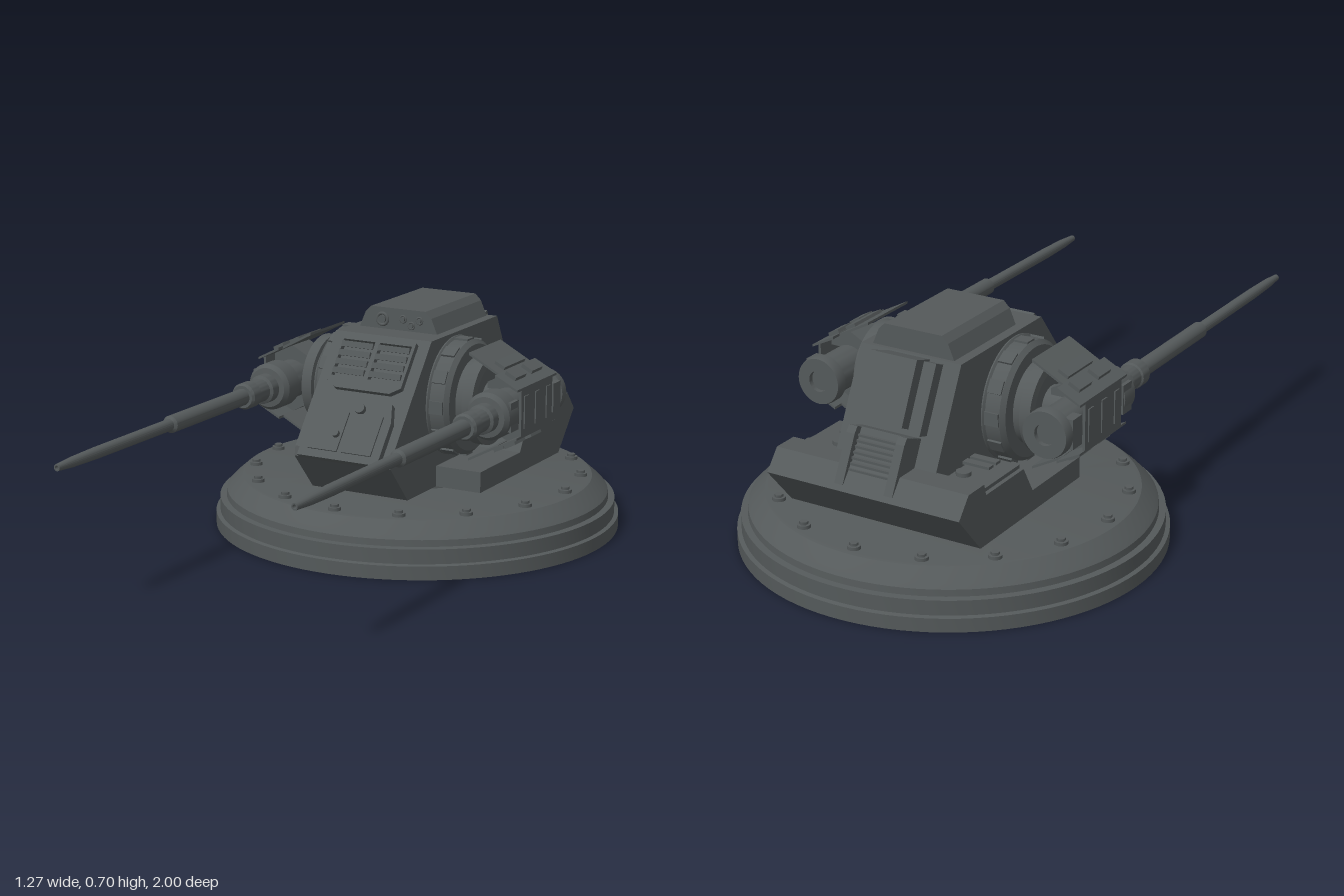
import * as THREE from 'three';
import { toCreasedNormals } from 'three/addons/utils/BufferGeometryUtils.js';

const gunmetal = new THREE.MeshStandardMaterial({ color: 0x54595a });
gunmetal.name = 'gunmetal';

const v2 = (pts) => pts.map(([a, b]) => new THREE.Vector2(a, b));

function add(parent, name, geometry, x = 0, y = 0, z = 0) {
  const m = new THREE.Mesh(geometry, gunmetal);
  m.name = name;
  m.position.set(x, y, z);
  parent.add(m);
  return m;
}

const box = (w, h, d) => new THREE.BoxGeometry(w, h, d);

// Turned part from [radius, height] points, with crisp rims
const turned = (pts, seg = 48) => toCreasedNormals(new THREE.LatheGeometry(v2(pts), seg), 0.5);

// Outline in x, y pushed forward along z
const frontExtrude = (pts, depth) =>
  new THREE.ExtrudeGeometry(new THREE.Shape(v2(pts)), { depth, bevelEnabled: false });

// Outline in z, y extruded along x, centred
const sideExtrude = (pts, width) =>
  frontExtrude(pts, width).rotateY(-Math.PI / 2).translate(width / 2, 0, 0);

// Short disc facing +z
const disc = (r, h, seg = 20) => new THREE.CylinderGeometry(r, r, h, seg).rotateX(Math.PI / 2);

const CZ = -0.365; // base centre

function buildBase() {
  const g = new THREE.Group();
  g.name = 'base';
  g.position.z = CZ;
  add(g, 'basePlate', turned([
    [0, 0], [0.635, 0], [0.635, 0.042], [0.622, 0.045], [0.622, 0.09], [0.602, 0.092],
    [0.6, 0.112], [0.588, 0.125], [0.55, 0.158], [0.54, 0.16], [0, 0.16]], 96));
  add(g, 'turretRing', turned([[0, 0.155], [0.22, 0.155], [0.22, 0.176], [0, 0.176]], 64));
  for (let i = 0; i < 16; i++) {
    const a = (i / 16) * Math.PI * 2;
    const x = Math.sin(a) * 0.515, z = Math.cos(a) * 0.515;
    add(g, 'boltWasher', new THREE.CylinderGeometry(0.02, 0.02, 0.01, 16), x, 0.165, z);
    add(g, 'boltHead', new THREE.CylinderGeometry(0.013, 0.013, 0.01, 6), x, 0.173, z);
  }
  return g;
}

function buildBody() {
  const g = new THREE.Group();
  g.name = 'body';
  add(g, 'hull', sideExtrude([
    [0, 0.175], [0.105, 0.295], [0.1, 0.325], [-0.145, 0.635], [-0.58, 0.635],
    [-0.715, 0.36], [-0.73, 0.175]], 0.332));
  add(g, 'rearDeck', sideExtrude([
    [-0.18, 0.175], [-0.18, 0.24], [-0.45, 0.24], [-0.5, 0.325], [-0.7, 0.325], [-0.71, 0.36],
    [-0.79, 0.36], [-0.84, 0.3], [-0.73, 0.175]], 0.636));

  // Roof housing with front sensors
  add(g, 'roofHousing', frontExtrude(
    [[-0.137, 0.63], [0.137, 0.63], [0.115, 0.682], [0.095, 0.702], [-0.095, 0.702], [-0.115, 0.682]],
    0.33), 0, 0, -0.567);
  for (const [x, y, r] of [[-0.055, 0.665, 0.021], [0.017, 0.671, 0.012], [0.046, 0.653, 0.012], [0.074, 0.671, 0.012]]) {
    add(g, 'sensorRim', new THREE.TorusGeometry(r * 0.85, r * 0.25, 8, 24), x, y, -0.237);
    add(g, 'sensorLens', disc(r * 0.6, 0.01), x, y, -0.235);
  }

  // Sloped front: nose cover and louvred panel
  const slope = new THREE.Group();
  slope.name = 'frontSlope';
  slope.position.set(0, 0.325, 0.1);
  slope.rotation.x = -Math.atan2(0.245, 0.31);
  g.add(slope);
  add(slope, 'noseCover', frontExtrude(
    [[-0.137, -0.035], [0.137, -0.035], [0.137, 0.105], [0.12, 0.165], [-0.12, 0.165], [-0.137, 0.105]], 0.022));
  for (const s of [-1, 1]) {
    add(slope, 'nosePlate', box(0.1, 0.13, 0.008), s * 0.058, 0.055, 0.023);
    for (let i = 0; i < 4; i++) {
      const l = add(slope, 'frontLouvre', box(0.108, 0.018, 0.012), s * 0.063, 0.256 + i * 0.03, 0.018);
      l.rotation.x = 0.35;
    }
  }
  add(slope, 'noseKnob', disc(0.016, 0.024), 0.025, 0.135, 0.025);
  add(slope, 'noseKnob', disc(0.012, 0.02), -0.027, 0.045, 0.03);
  const frame = new THREE.Shape(v2([
    [-0.128, 0.222], [-0.095, 0.2], [0.095, 0.2], [0.128, 0.222], [0.128, 0.375], [-0.128, 0.375]]));
  for (const s of [-1, 1])
    frame.holes.push(new THREE.Path(v2([[s * 0.008, 0.238], [s * 0.118, 0.238], [s * 0.118, 0.362], [s * 0.008, 0.362]])));
  add(slope, 'louvreFrame', new THREE.ExtrudeGeometry(frame, { depth: 0.018, bevelEnabled: false }));

  // Rear hatch and exhaust grille
  add(g, 'rearHatchFrame', sideExtrude([[-0.57, 0.62], [-0.62, 0.64], [-0.71, 0.455], [-0.66, 0.44]], 0.22));
  add(g, 'rearHatch', sideExtrude([[-0.59, 0.635], [-0.655, 0.655], [-0.737, 0.482], [-0.68, 0.455]], 0.14));
  add(g, 'grilleBlock', sideExtrude([[-0.68, 0.435], [-0.73, 0.455], [-0.81, 0.32], [-0.7, 0.32]], 0.19));
  for (const s of [-1, 1])
    add(g, 'grilleSide', sideExtrude(
      [[-0.69, 0.437], [-0.75, 0.463], [-0.765, 0.445], [-0.83, 0.315], [-0.75, 0.31]], 0.028), s * 0.082);
  for (let i = 0; i < 7; i++)
    add(g, 'grilleBar', box(0.14, 0.007, 0.014), 0, 0.435 - i * 0.014, -0.742 - i * 0.0085);

  // Deck covers with cap and vents
  for (const s of [-1, 1]) {
    add(g, 'deckCover', box(0.13, 0.012, 0.2), s * 0.24, 0.33, -0.6);
    add(g, 'deckCap', new THREE.CylinderGeometry(0.022, 0.022, 0.014, 20), s * 0.207, 0.341, -0.638);
    for (let i = 0; i < 2; i++)
      add(g, 'deckVent', box(0.09, 0.01, 0.025), s * 0.207, 0.339, -0.565 + i * 0.038);
  }
  return g;
}

function buildGun(s) {
  const g = new THREE.Group();
  g.name = s > 0 ? 'leftGun' : 'rightGun';

  // Drum mount across the hull side
  add(g, 'drumMount', turned([
    [0, 0.15], [0.185, 0.15], [0.185, 0.17], [0.178, 0.175], [0.178, 0.222], [0.165, 0.235],
    [0.125, 0.235], [0.125, 0.262], [0.14, 0.264], [0.14, 0.298], [0.115, 0.3], [0.115, 0.29],
    [0.06, 0.29], [0.06, 0.38], [0, 0.38]], 56).rotateZ(-s * Math.PI / 2), 0, 0.44, -0.295);
  for (let i = 0; i < 12; i++) {
    const a = (i / 12) * Math.PI * 2;
    const rib = add(g, 'drumRib', box(0.045, 0.012, 0.04), s * 0.198, 0.44 + Math.cos(a) * 0.177, -0.295 + Math.sin(a) * 0.177);
    rib.rotation.x = a;
  }

  // Breech and barrel along z
  add(g, 'breech', turned([
    [0, -0.48], [0.032, -0.48], [0.032, -0.495], [0.07, -0.495], [0.073, -0.485], [0.073, -0.46],
    [0.06, -0.455], [0.06, -0.165], [0.073, -0.16], [0.073, -0.1], [0.062, -0.085], [0.045, -0.083],
    [0.045, -0.05], [0.036, -0.045], [0.036, 0.008], [0.041, 0.012], [0.041, 0.05], [0.035, 0.058],
    [0, 0.058]], 36).rotateX(Math.PI / 2), s * 0.381, 0.44, 0);
  add(g, 'barrel', turned([
    [0, 0.04], [0.026, 0.04], [0.026, 0.448], [0.018, 0.455], [0.0175, 0.82], [0.015, 0.93],
    [0.01, 1], [0.006, 1], [0.006, 0.96], [0, 0.96]], 24).rotateX(Math.PI / 2), s * 0.381, 0.44, 0);

  // Bent armour: outer plate, then sloping plates above and below
  add(g, 'outerArmour', box(0.008, 0.15, 0.21), s * 0.448, 0.44, -0.285);
  for (const z of [-0.36, -0.285, -0.21])
    add(g, 'armourRib', box(0.008, 0.1, 0.028), s * 0.452, 0.44, z);
  for (const z of [-0.43, -0.14])
    add(g, 'breechClamp', box(0.05, 0.09, 0.05), s * 0.425, 0.44, z);
  for (const u of [-1, 1]) {
    const strip = (pts, depth, z) => frontExtrude(pts.map(([x, y]) => [s * x, 0.44 + u * y]), depth).translate(0, 0, z);
    add(g, 'lowerSlopeArmour', strip([[0.452, 0.07], [0.452, 0.077], [0.378, 0.115], [0.378, 0.107]], 0.27, -0.42));
    add(g, 'upperSlopeArmour', strip([[0.38, 0.105], [0.38, 0.113], [0.277, 0.168], [0.277, 0.16]], 0.21, -0.385));
    add(g, 'armourWeb', strip([[0.45, 0.05], [0.45, 0.073], [0.38, 0.107], [0.31, 0.07], [0.31, 0.05]], 0.1, -0.335));
    for (const z of [-0.34, -0.23])
      add(g, 'armourBlock', strip([[0.42, 0.088], [0.426, 0.103], [0.392, 0.121], [0.385, 0.106]], 0.07, z - 0.035));
    add(g, 'armourPad', strip([[0.372, 0.112], [0.378, 0.126], [0.346, 0.142], [0.34, 0.128]], 0.14, -0.355));
  }
  return g;
}

export function createModel() {
  const model = new THREE.Group();
  model.name = 'twinGunTurret';
  model.add(buildBase(), buildBody(), buildGun(1), buildGun(-1));
  return model;
}
